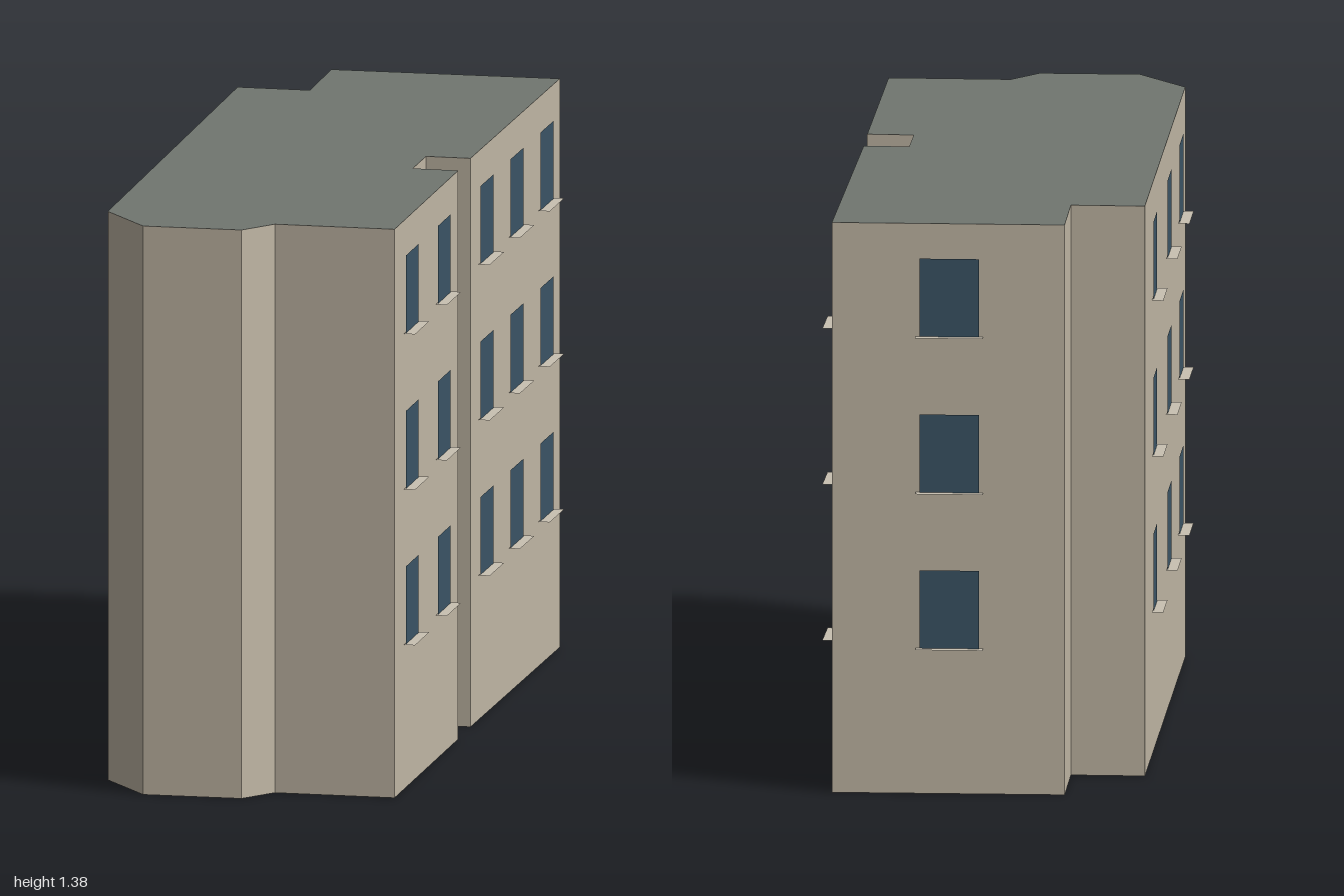
import * as THREE from 'three';

const HEIGHT = 1.375;
const WINDOW_W = 0.142, WINDOW_H = 0.188;
const SILL_W = 0.16, SILL_D = 0.027;
const FLOORS = [0.351, 0.727, 1.103]; // window bottoms

// Floor plan corners as [x, z]
const PLAN = [
  [0.2, -1], [0.336, -0.033], [0.229, -0.018], [0.25, 0.127], [0.36, 0.114],
  [0.465, 0.825], [0.178, 0.867], [0.128, 0.96], [-0.107, 0.997], [-0.247, 0.862],
  [-0.48, -0.638], [-0.306, -0.663], [-0.346, -0.913],
];

// Walls with windows: outward side runs from corner a to corner b, at = window centres along it (0..1)
const WALLS = [
  { name: 'rearRight', a: 1, b: 0, at: [0.162, 0.5, 0.834] },
  { name: 'frontRight', a: 5, b: 4, at: [0.246, 0.746] },
  { name: 'left', a: 10, b: 9, at: [0.206, 0.557, 0.852] },
  { name: 'back', a: 0, b: 12, at: [0.505] },
];

export function createModel() {
  const group = new THREE.Group();
  const paint = (color, extra = {}) => new THREE.MeshStandardMaterial({ color, ...extra });
  const wallMat = paint(0xc2b8a6);
  const roofMat = paint(0x717670);
  const glassMat = paint(0x3b5566, { side: THREE.DoubleSide });
  const sillMat = paint(0xc9c1b2, { side: THREE.DoubleSide });

  // Building block with a flat roof
  const shape = new THREE.Shape(PLAN.map(([x, z]) => new THREE.Vector2(x, -z)));
  const block = new THREE.ExtrudeGeometry(shape, { depth: HEIGHT, bevelEnabled: false });
  block.rotateX(-Math.PI / 2);
  const building = new THREE.Mesh(block, [roofMat, wallMat]);
  building.name = 'building';
  group.add(building);

  // Pane and flat sill, with +z pointing out of the wall
  const paneGeo = new THREE.PlaneGeometry(WINDOW_W, WINDOW_H).translate(0, WINDOW_H / 2, 0.005);
  const sillGeo = new THREE.PlaneGeometry(SILL_W, SILL_D)
    .rotateX(-Math.PI / 2).translate(0, 0, SILL_D / 2 + 0.002);

  for (const { name, a, b, at } of WALLS) {
    const [ax, az] = PLAN[a], [bx, bz] = PLAN[b];
    // Local +x follows the wall from a to b
    const angle = Math.atan2(-(bz - az), bx - ax);
    for (const t of at) {
      for (const y of FLOORS) {
        const unit = new THREE.Group();
        unit.name = `${name}Window`;
        const pane = new THREE.Mesh(paneGeo, glassMat);
        pane.name = 'windowPane';
        const sill = new THREE.Mesh(sillGeo, sillMat);
        sill.name = 'windowSill';
        unit.add(pane, sill);
        unit.position.set(ax + (bx - ax) * t, y, az + (bz - az) * t);
        unit.rotation.y = angle;
        group.add(unit);
      }
    }
  }
  return group;
}
